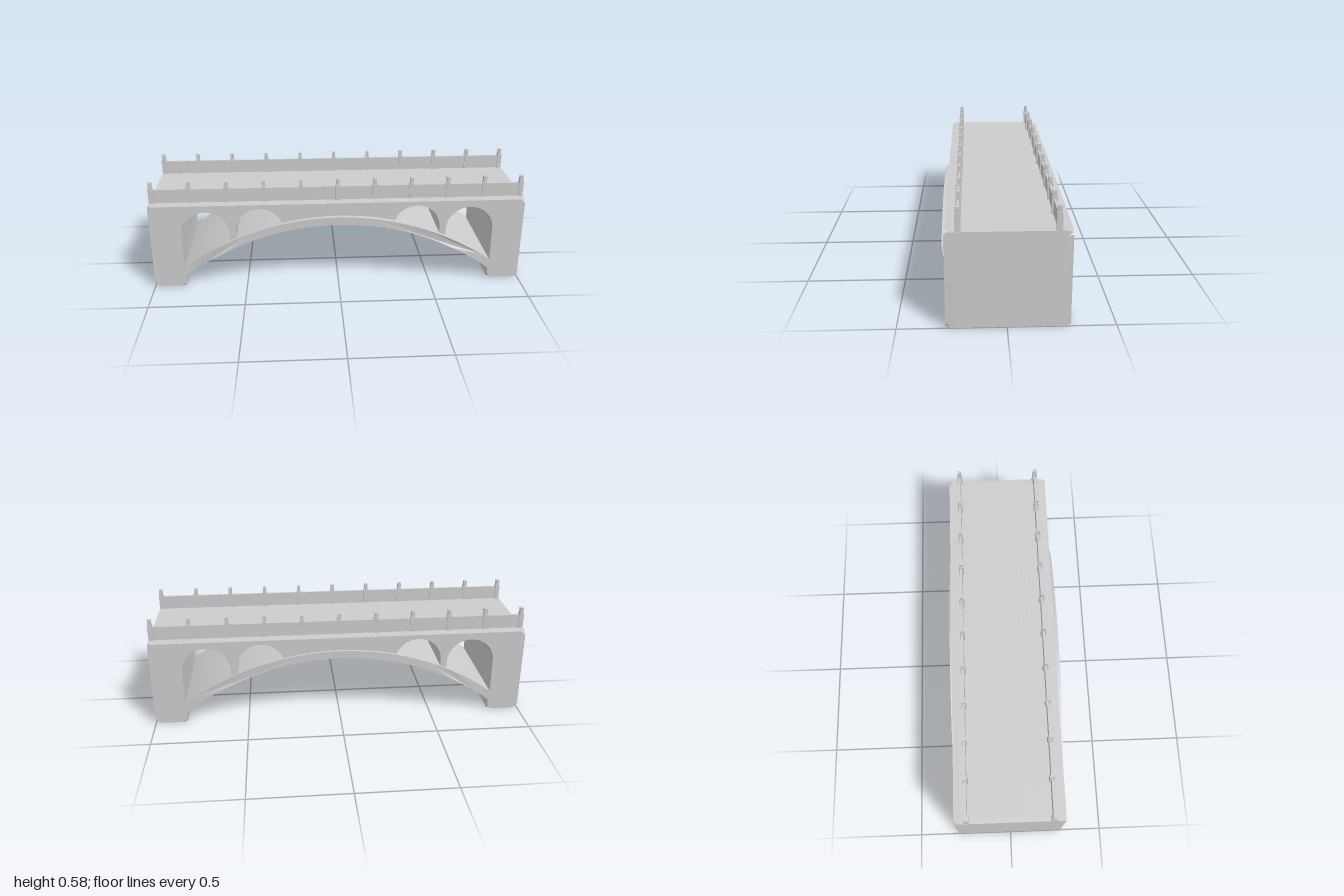
import * as THREE from 'three';
import { toCreasedNormals } from 'three/addons/utils/BufferGeometryUtils.js';

const FRONT = 0.278, BACK = -0.29, DECK = 0.467, SPAN = 0.83, CUT = 0.022;

// circular arc falling from a crown to a given height at the abutments
function arc(crown, foot) {
  const s = crown - foot, R = (SPAN * SPAN + s * s) / (2 * s);
  return (x) => crown - R + Math.sqrt(R * R - x * x);
}
const extrados = arc(0.397, 0.115);
const intrados = arc(0.355, 0.058);

function along(fn, x0, x1, n) {
  return Array.from({ length: n + 1 }, (_, i) => {
    const x = x0 + ((x1 - x0) * i) / n;
    return new THREE.Vector2(x, fn(x));
  });
}

// arched opening that stands on the back of the main arch
function opening(cx, r, spring) {
  const top = [];
  for (let i = 0; i <= 24; i++) {
    const a = (Math.PI * i) / 24;
    const x = cx + r * Math.cos(a), y = spring + r * Math.sin(a);
    if (y > extrados(x) + 0.002) top.push(new THREE.Vector2(x, y));
  }
  return new THREE.Path([...top, ...along(extrados, top[top.length - 1].x, top[0].x, 12)]);
}

function bodyGeometry() {
  // outline, with every outer corner given a neighbour on each side
  const corners = [[-1, 0], [-SPAN, 0], [SPAN, 0], [1, 0], [1, DECK], [-1, DECK]];
  const v = (x, y) => new THREE.Vector2(x, y);
  const shape = new THREE.Shape([
    v(-1, CUT), v(-1, 0), v(-1 + CUT, 0), v(-SPAN - CUT, 0), v(-SPAN, 0), v(-SPAN, CUT),
    ...along(intrados, -SPAN, SPAN, 40),
    v(SPAN, CUT), v(SPAN, 0), v(SPAN + CUT, 0), v(1 - CUT, 0), v(1, 0), v(1, CUT),
    v(1, DECK - CUT), v(1, DECK), v(1 - CUT, DECK),
    v(-1 + CUT, DECK), v(-1, DECK), v(-1, DECK - CUT),
  ]);
  for (const s of [-1, 1]) {
    shape.holes.push(opening(s * 0.7075, 0.1275, 0.303), opening(s * 0.42, 0.125, 0.32));
  }
  const geo = new THREE.ExtrudeGeometry(shape, { depth: FRONT - BACK, steps: 26, bevelEnabled: false });
  geo.translate(0, 0, BACK);

  // clip the corners on the front and back faces
  const p = geo.attributes.position;
  for (let i = 0; i < p.count; i++) {
    const x = p.getX(i), y = p.getY(i), z = p.getZ(i);
    if (z < FRONT - 1e-4 && z > BACK + 1e-4) continue;
    const c = corners.find(([a, b]) => Math.abs(a - x) < 1e-4 && Math.abs(b - y) < 1e-4);
    if (!c) continue;
    const outward = Math.abs(x) > 0.9;
    const dx = (outward ? -Math.sign(x) : Math.sign(x)) * CUT / 2;
    const dy = (y < 0.1 ? 1 : -1) * CUT / 2;
    p.setXY(i, x + dx, y + dy);
  }
  return toCreasedNormals(geo, 0.5);
}

// raised arch band, fading into the wall toward the abutments
function bandGeometry(side) {
  const end = 0.79;
  const shape = new THREE.Shape([
    ...along(intrados, -end, end, 40), ...along(extrados, end, -end, 40),
  ]);
  const geo = new THREE.ExtrudeGeometry(shape, { depth: 1, bevelEnabled: false });
  const wall = side > 0 ? FRONT : BACK, face = side * 0.304;
  const p = geo.attributes.position;
  for (let i = 0; i < p.count; i++) {
    const outer = (p.getZ(i) > 0.5) === (side > 0);
    const t = THREE.MathUtils.clamp((end - Math.abs(p.getX(i))) / 0.17, 0, 1);
    p.setZ(i, outer ? THREE.MathUtils.lerp(wall, face, t) : wall - side * 0.004);
  }
  return toCreasedNormals(geo, 0.5);
}

export function createModel() {
  const model = new THREE.Group();
  model.name = 'archBridge';
  const stone = new THREE.MeshStandardMaterial({ color: 0xcccccc });
  stone.name = 'pale grey stone';

  const add = (parent, name, geo, x = 0, y = 0, z = 0) => {
    const mesh = new THREE.Mesh(geo, stone);
    mesh.name = name;
    mesh.position.set(x, y, z);
    parent.add(mesh);
  };

  add(model, 'bridgeBody', bodyGeometry());
  add(model, 'frontArchBand', bandGeometry(1));
  add(model, 'backArchBand', bandGeometry(-1));

  // parapets with evenly spaced posts
  const panel = new THREE.BoxGeometry(1.99, 0.077, 0.012);
  const post = new THREE.BoxGeometry(0.024, 0.086, 0.027);
  const cap = new THREE.BoxGeometry(0.018, 0.034, 0.02);
  for (const [name, z] of [['frontParapet', 0.215], ['backParapet', -0.227]]) {
    const parapet = new THREE.Group();
    parapet.name = name;
    parapet.position.z = z;
    add(parapet, 'parapetWall', panel, 0, 0.5025, 0);
    for (let i = -5; i <= 5; i++) {
      const x = i * 0.1972;
      add(parapet, 'post', post, x, 0.507, 0);
      add(parapet, 'postCap', cap, x, 0.564, 0);
    }
    model.add(parapet);
  }
  return model;
}
